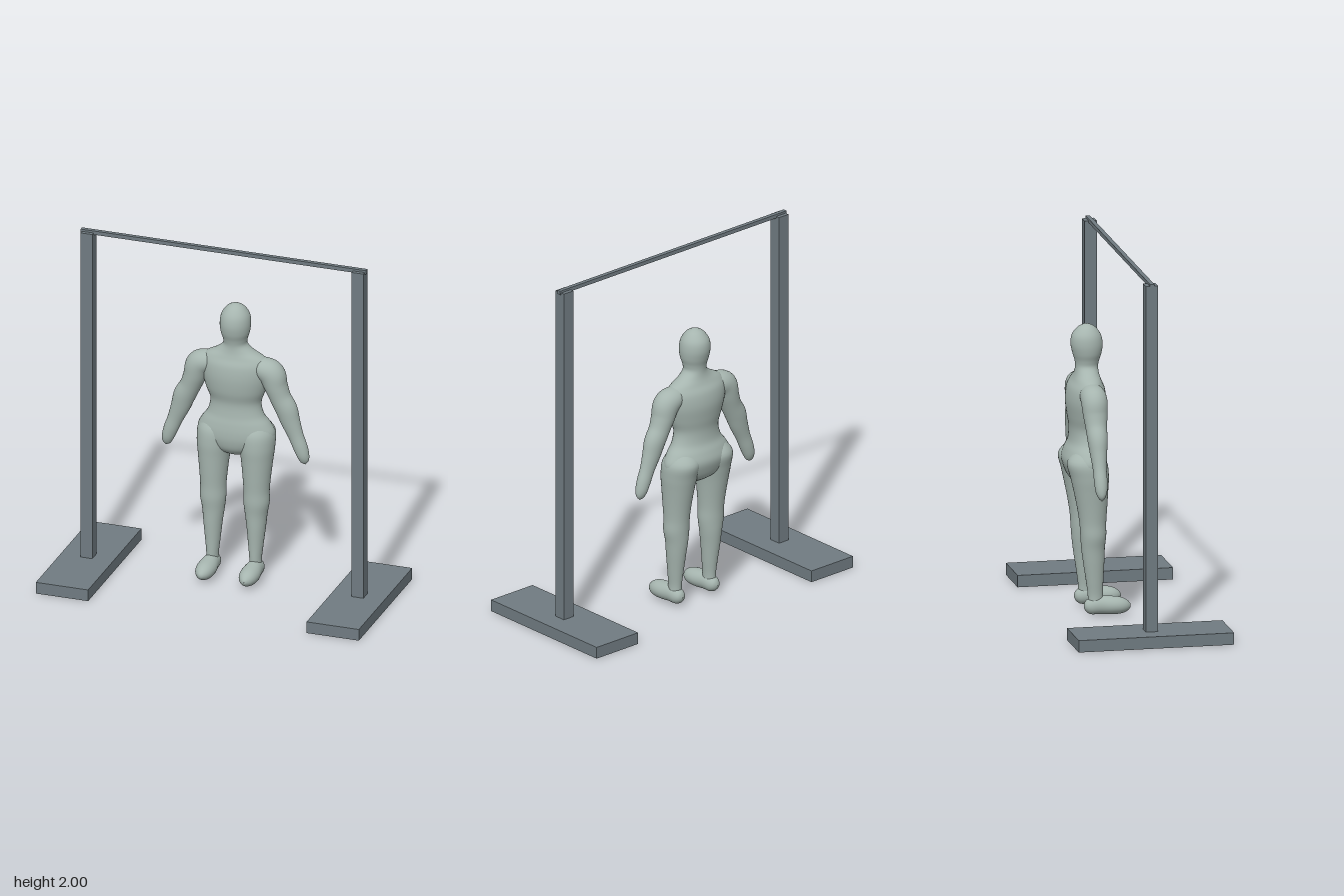
import * as THREE from 'three';

const X = new THREE.Vector3(1, 0, 0);
const Y = new THREE.Vector3(0, 1, 0);
const Z = new THREE.Vector3(0, 0, 1);

// Smooth interpolation through rows of numbers
function sample(rows, t) {
  const f = Math.min(t, 0.99999) * (rows.length - 1);
  const i = Math.floor(f), k = f - i;
  const at = (j) => rows[Math.max(0, Math.min(rows.length - 1, j))];
  return rows[0].map((_, c) => {
    const p0 = at(i - 1)[c], p1 = at(i)[c], p2 = at(i + 1)[c], p3 = at(i + 2)[c];
    return 0.5 * (2 * p1 + (p2 - p0) * k + (2 * p0 - 5 * p1 + 4 * p2 - p3) * k * k
      + (3 * p1 - p0 - 3 * p2 + p3) * k * k * k);
  });
}

// Elliptical loft. Rows: x, y, z, radius along v, radius across v.
// A fixed direction keeps rings parallel; otherwise they follow the path.
function loft(rows, v, direction, sides = 36) {
  const rings = (rows.length - 1) * 5;
  const pos = [], idx = [];
  for (let r = 0; r <= rings; r++) {
    const [x, y, z, rv, ru] = sample(rows, r / rings);
    const a = sample(rows, Math.max(0, r / rings - 0.01));
    const b = sample(rows, Math.min(1, r / rings + 0.01));
    const t = direction || new THREE.Vector3(b[0] - a[0], b[1] - a[1], b[2] - a[2]).normalize();
    const u = v.clone().cross(t).normalize();
    for (let s = 0; s < sides; s++) {
      const angle = (s / sides) * Math.PI * 2;
      const p = new THREE.Vector3(x, y, z)
        .addScaledVector(u, Math.cos(angle) * Math.max(ru, 0.001))
        .addScaledVector(v, Math.sin(angle) * Math.max(rv, 0.001));
      pos.push(p.x, p.y, p.z);
      if (r < rings) {
        const n = (s + 1) % sides, o = r * sides;
        idx.push(o + s, o + n, o + sides + n, o + s, o + sides + n, o + sides + s);
      }
    }
  }
  const g = new THREE.BufferGeometry();
  g.setAttribute('position', new THREE.Float32BufferAttribute(pos, 3));
  g.setIndex(idx);
  g.computeVertexNormals();
  return g;
}

export function createModel() {
  const model = new THREE.Group();
  const frameGrey = new THREE.MeshStandardMaterial({ color: 0x707b81 });
  frameGrey.name = 'frame grey';
  const bodyGrey = new THREE.MeshStandardMaterial({ color: 0xa6b5af });
  bodyGrey.name = 'body pale grey';

  function add(parent, name, geometry, material) {
    const mesh = new THREE.Mesh(geometry, material);
    mesh.name = name;
    parent.add(mesh);
    return mesh;
  }

  // Frame: two foot plates, two posts and a top bar
  const frame = new THREE.Group();
  frame.name = 'frame';
  model.add(frame);
  for (const s of [1, -1]) {
    const side = s > 0 ? 'left' : 'right';
    add(frame, side + 'BasePlate', new THREE.BoxGeometry(0.3, 0.066, 0.86), frameGrey)
      .position.set(s * 0.777, 0.033, 0);
    add(frame, side + 'Post', new THREE.BoxGeometry(0.068, 1.925, 0.068), frameGrey)
      .position.set(s * 0.778, 1.0255, 0);
  }
  add(frame, 'topBar', new THREE.BoxGeometry(1.638, 0.022, 0.024), frameGrey)
    .position.set(0, 1.989, 0);

  const figure = new THREE.Group();
  figure.name = 'figure';
  model.add(figure);

  // Torso, neck and head: height, half width, front z, back z
  const torso = [
    [0.71, 0.0, -0.185, -0.195], [0.725, 0.07, -0.14, -0.24],
    [0.76, 0.15, -0.105, -0.285], [0.81, 0.208, -0.09, -0.308],
    [0.86, 0.218, -0.088, -0.318], [0.91, 0.193, -0.094, -0.305],
    [0.96, 0.158, -0.104, -0.285], [1.03, 0.144, -0.108, -0.28],
    [1.1, 0.168, -0.092, -0.29], [1.18, 0.19, -0.085, -0.298],
    [1.25, 0.195, -0.092, -0.288], [1.295, 0.172, -0.11, -0.265],
    [1.33, 0.108, -0.12, -0.252], [1.365, 0.068, -0.123, -0.247],
    [1.4, 0.068, -0.117, -0.25], [1.44, 0.08, -0.104, -0.262],
    [1.49, 0.085, -0.098, -0.272], [1.54, 0.077, -0.108, -0.266],
    [1.58, 0.05, -0.136, -0.236], [1.597, 0.022, -0.165, -0.207],
    [1.602, 0.0, -0.186, -0.186],
  ].map(([y, w, f, b]) => [0, y, (f + b) / 2, w, (f - b) / 2]);
  add(figure, 'torsoAndHead', loft(torso, X, Y), bodyGrey);

  // Leg: height, inner x, outer x, front z, back z
  const leg = [
    [0.06, 0.09, 0.16, -0.125, -0.205], [0.12, 0.09, 0.157, -0.122, -0.205],
    [0.2, 0.082, 0.165, -0.12, -0.215], [0.3, 0.072, 0.176, -0.115, -0.23],
    [0.38, 0.061, 0.184, -0.112, -0.24], [0.45, 0.053, 0.196, -0.105, -0.245],
    [0.52, 0.053, 0.195, -0.105, -0.25], [0.6, 0.047, 0.201, -0.1, -0.262],
    [0.7, 0.036, 0.211, -0.094, -0.282], [0.78, 0.022, 0.219, -0.09, -0.3],
    [0.86, 0.015, 0.215, -0.1, -0.316], [0.92, 0.05, 0.17, -0.14, -0.27],
  ];

  // Foot from heel to toe: z, centre height, half width, half height
  const foot = [
    [-0.228, 0.06, 0, 0], [-0.218, 0.06, 0.025, 0.026],
    [-0.19, 0.06, 0.04, 0.045], [-0.14, 0.064, 0.046, 0.05],
    [-0.08, 0.06, 0.054, 0.05], [-0.03, 0.057, 0.05, 0.046],
    [0.005, 0.055, 0.036, 0.034], [0.027, 0.053, 0.015, 0.015],
    [0.032, 0.053, 0, 0],
  ];

  // Arm from shoulder to fingertip: x, y, half depth, half width
  const arm = [
    [0.09, 1.245, 0.045, 0.05], [0.155, 1.24, 0.068, 0.062],
    [0.207, 1.212, 0.071, 0.074], [0.232, 1.145, 0.066, 0.064],
    [0.258, 1.08, 0.058, 0.058], [0.291, 1.018, 0.054, 0.061],
    [0.314, 0.95, 0.046, 0.054], [0.345, 0.87, 0.037, 0.043],
    [0.371, 0.805, 0.036, 0.04], [0.388, 0.755, 0.031, 0.034],
    [0.396, 0.722, 0.018, 0.023], [0.4, 0.704, 0, 0],
  ];

  for (const s of [1, -1]) {
    const side = s > 0 ? 'left' : 'right';
    add(figure, side + 'Leg', loft(leg.map(([y, i, o, f, b]) =>
      [s * (i + o) / 2, y, (f + b) / 2, (o - i) / 2, (f - b) / 2]), X, Y), bodyGrey);
    add(figure, side + 'Foot', loft(foot.map(([z, y, w, h]) =>
      [s * 0.125, y, z, w, h]), X, Z), bodyGrey);
    add(figure, side + 'Arm', loft(arm.map(([x, y, d, w]) =>
      [s * x, y, -0.187, d, w]), Z), bodyGrey);
  }
  return model;
}
